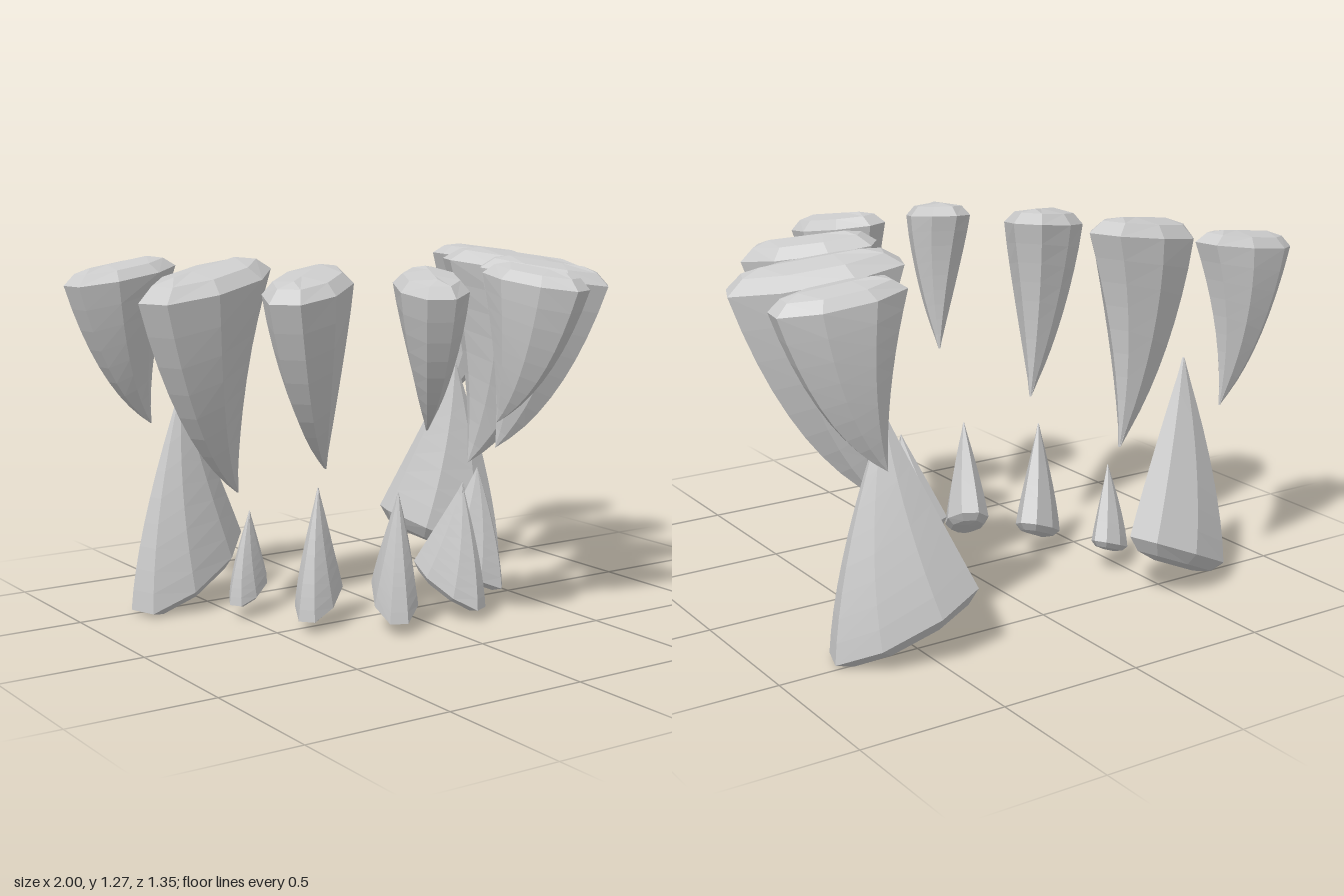
import * as THREE from 'three';

const SIDES = 8, RINGS = 9;

// Teeth of one side, front to back: inner and outer rim points, tip, half width
const UPPER = [
  { inner: [0.14, 1.235, 0.335], outer: [0.285, 1.185, 0.655], tip: [0.145, 0.73, 0.38], w: 0.11 },
  { inner: [0.315, 1.23, 0.06], outer: [0.66, 1.165, 0.345], tip: [0.36, 0.58, 0.095], w: 0.125 },
  { inner: [0.405, 1.235, -0.27], outer: [0.915, 1.15, -0.05], tip: [0.5, 0.455, -0.26], w: 0.145 },
  { inner: [0.59, 1.235, -0.58], outer: [0.99, 1.18, -0.51], tip: [0.66, 0.67, -0.6], w: 0.11 },
];
const LOWER = [
  { inner: [0.06, 0.2, 0.04], outer: [0.175, 0.05, 0.265], tip: [0.135, 0.49, 0.2], w: 0.075 },
  { inner: [0.22, 0.17, -0.1], outer: [0.42, 0.05, 0.065], tip: [0.34, 0.5, 0.015], w: 0.07 },
  { inner: [0.375, 0.14, -0.325], outer: [0.535, 0.06, -0.225], tip: [0.465, 0.39, -0.24], w: 0.055 },
  { inner: [0.345, 0.24, -0.6], outer: [0.785, 0.025, -0.45], tip: [0.6, 0.82, -0.475], w: 0.13 },
];

// Bend of the edges: [horizontal, vertical] control position from tip to rim
const UPPER_BEND = { inner: [-0.3, 0.5], outer: [0.62, 0.25] };
const LOWER_BEND = { inner: [0.38, 0.4], outer: [0.9, 0.6] };

function edgeCurve(rim, tip, [kh, kv]) {
  const a = new THREE.Vector3(...rim), b = new THREE.Vector3(...tip);
  const c = new THREE.Vector3(
    b.x + kh * (a.x - b.x), b.y + kv * (a.y - b.y), b.z + kh * (a.z - b.z));
  return new THREE.QuadraticBezierCurve3(a, c, b);
}

function toothGeometry({ inner, outer, tip, w }, bend, up, side) {
  const inCurve = edgeCurve(inner, tip, bend.inner);
  const outCurve = edgeCurve(outer, tip, bend.outer);
  const axis = outCurve.v0.clone().sub(inCurve.v0);
  const across = new THREE.Vector3(-axis.z, 0, axis.x).normalize();
  const capDir = axis.clone().cross(across).normalize();
  if (capDir.y * up < 0) capDir.negate();

  const pos = [], idx = [];
  // One octagonal ring between the inner and outer edge
  const ring = (t, su, sv, lift) => {
    const i = inCurve.getPoint(t), o = outCurve.getPoint(t);
    const mid = i.clone().add(o).multiplyScalar(0.5).addScaledVector(capDir, lift);
    const half = o.sub(i).multiplyScalar(0.5 * su);
    for (let k = 0; k < SIDES; k++) {
      const a = ((k + 0.5) / SIDES) * Math.PI * 2, r = 1 / Math.cos(Math.PI / SIDES);
      const p = mid.clone()
        .addScaledVector(half, Math.cos(a) * r)
        .addScaledVector(across, Math.sin(a) * r * w * sv);
      pos.push(p.x * side, p.y, p.z);
    }
  };

  // Cap ridge and bevel, then the tapering body
  ring(0, 0.58, 0, 0.43 * w);
  ring(0, 0.8, 0.74, 0.31 * w);
  for (let r = 0; r <= RINGS; r++) {
    const t = r / RINGS;
    ring(t, 1, Math.max(1 - Math.pow(t, 1.2), 0.03), 0);
  }

  const flip = up * side < 0;
  for (let r = 0; r < RINGS + 2; r++) {
    for (let k = 0; k < SIDES; k++) {
      const a = r * SIDES + k, b = r * SIDES + ((k + 1) % SIDES);
      const c = a + SIDES, d = b + SIDES;
      if (flip) idx.push(a, c, b, b, c, d);
      else idx.push(a, b, c, b, d, c);
    }
  }
  const geo = new THREE.BufferGeometry();
  geo.setAttribute('position', new THREE.Float32BufferAttribute(pos, 3));
  geo.setIndex(idx);
  geo.computeVertexNormals();
  return geo;
}

export function createModel() {
  const model = new THREE.Group();
  model.name = 'teeth';
  const material = new THREE.MeshStandardMaterial({ color: 0xcccccc, flatShading: true });

  const addJaw = (name, teeth, bend, up) => {
    const jaw = new THREE.Group();
    jaw.name = name + 'Teeth';
    teeth.forEach((spec, n) => {
      for (const side of [1, -1]) {
        const tooth = new THREE.Mesh(toothGeometry(spec, bend, up, side), material);
        tooth.name = `${name}Tooth${side > 0 ? 'Left' : 'Right'}${n + 1}`;
        jaw.add(tooth);
      }
    });
    model.add(jaw);
  };

  addJaw('upper', UPPER, UPPER_BEND, 1);
  addJaw('lower', LOWER, LOWER_BEND, -1);
  return model;
}
